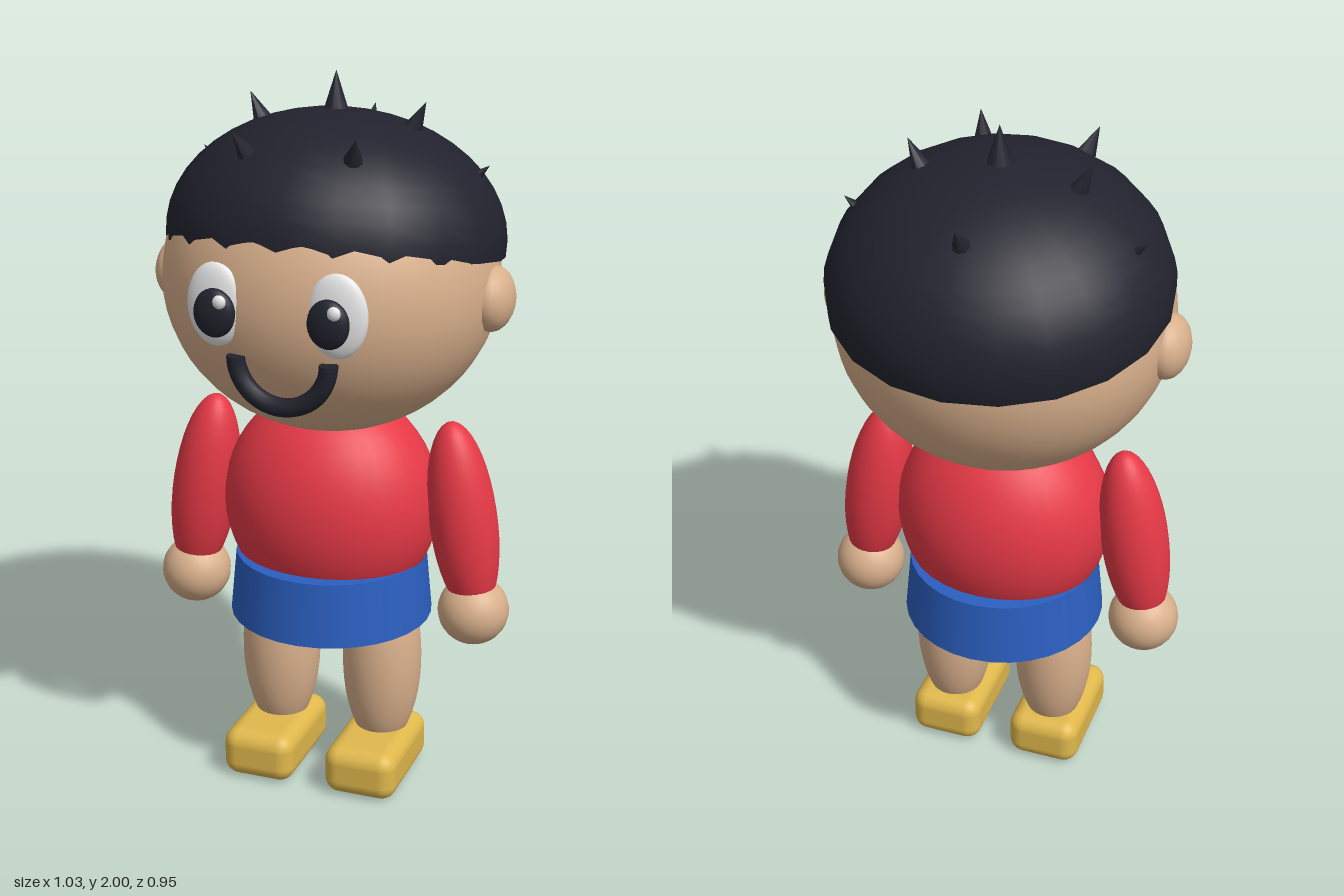
import * as THREE from 'three';
import { RoundedBoxGeometry } from 'three/addons/geometries/RoundedBoxGeometry.js';

const material = (name, color, side = THREE.FrontSide) => {
  const m = new THREE.MeshStandardMaterial({ color, side });
  m.name = name;
  return m;
};

export function createModel() {
  const model = new THREE.Group();
  model.name = 'cartoonBoy';

  const skin = material('skin', 0xd9b08c);
  const red = material('shirtRed', 0xe63946);
  const blue = material('shortsBlue', 0x2b5fc0);
  const yellow = material('shoeYellow', 0xe0b84c);
  const dark = material('hairDark', 0x22222e, THREE.DoubleSide);
  const white = material('eyeWhite', 0xf5f5f5);

  const add = (name, geometry, mat, x, y, z) => {
    const mesh = new THREE.Mesh(geometry, mat);
    mesh.name = name;
    mesh.position.set(x, y, z);
    model.add(mesh);
    return mesh;
  };
  const ellipsoid = (name, mat, [x, y, z], [rx, ry, rz], segments = 32) => {
    const mesh = add(name, new THREE.SphereGeometry(1, segments, Math.round(segments * 0.75)), mat, x, y, z);
    mesh.scale.set(rx, ry, rz);
    return mesh;
  };

  // Head and torso
  ellipsoid('head', skin, [0, 1.46, 0], [0.457, 0.42, 0.44], 40);
  ellipsoid('shirt', red, [0, 0.815, 0], [0.305, 0.325, 0.255]);
  add('shorts', new THREE.CylinderGeometry(0.268, 0.285, 0.18, 32), blue, 0, 0.575, 0);

  // Hair cap, tipped towards the back
  const hair = add('hairCap',
    new THREE.SphereGeometry(1, 20, 12, 0, Math.PI * 2, 0, Math.PI * 0.53), dark, 0, 1.56, -0.035);
  hair.scale.set(0.46, 0.34, 0.447);
  hair.rotation.x = -0.18;

  // Hair spikes, given by their tips and pointing away from the head's middle
  const up = new THREE.Vector3(0, 1, 0);
  const middle = new THREE.Vector3(0, 1.42, -0.035);
  const addSpike = (x, y, z) => {
    const tip = new THREE.Vector3(x, y, z);
    const direction = tip.clone().sub(middle).normalize();
    const length = 0.15;
    const centre = tip.clone().addScaledVector(direction, -length / 2);
    const spike = add('hairSpike', new THREE.ConeGeometry(0.05, length, 8), dark, centre.x, centre.y, centre.z);
    spike.quaternion.setFromUnitVectors(up, direction);
  };
  addSpike(0, 2, -0.035);
  addSpike(0, 1.86, -0.355);

  // Smile
  const mouth = add('mouth', new THREE.TorusGeometry(0.125, 0.025, 12, 32, Math.PI), dark, 0.018, 1.343, 0.415);
  mouth.rotation.z = Math.PI;
  for (const side of [-1, 1]) {
    const cap = new THREE.CircleGeometry(0.025, 12);
    cap.rotateX(-Math.PI / 2);
    add('mouthEnd', cap, dark, 0.018 + side * 0.125, 1.343, 0.415);
  }

  // Paired parts
  for (const s of [-1, 1]) {
    addSpike(s * 0.245, 1.93, -0.04);
    addSpike(s * 0.165, 1.885, 0.28);
    addSpike(s * 0.405, 1.765, -0.09);

    // Face
    ellipsoid('ear', skin, [s * 0.447, 1.435, 0], [0.06, 0.088, 0.09], 20);
    const eye = ellipsoid('eye', white, [s * 0.163, 1.47, 0.407], [0.08, 0.11, 0.028], 24);
    eye.rotation.y = s * 0.08;
    ellipsoid('pupil', dark, [s * 0.152, 1.458, 0.443], [0.056, 0.064, 0.028], 20);
    ellipsoid('eyeGlint', white, [s * 0.152 + 0.022, 1.493, 0.463], [0.018, 0.018, 0.012], 12);

    // Arms
    const sleeve = ellipsoid('sleeve', red, [s * 0.383, 0.8, 0], [0.094, 0.283, 0.094], 28);
    sleeve.rotation.z = s * 0.15;
    ellipsoid('hand', skin, [s * 0.418, 0.537, 0], [0.099, 0.097, 0.099], 24);

    // Legs
    ellipsoid('leg', skin, [s * 0.153, 0.35, 0], [0.112, 0.283, 0.113], 28);
    add('shoe', new RoundedBoxGeometry(0.21, 0.142, 0.34, 4, 0.045), yellow, s * 0.153, 0.071, 0.052);
  }

  return model;
}
